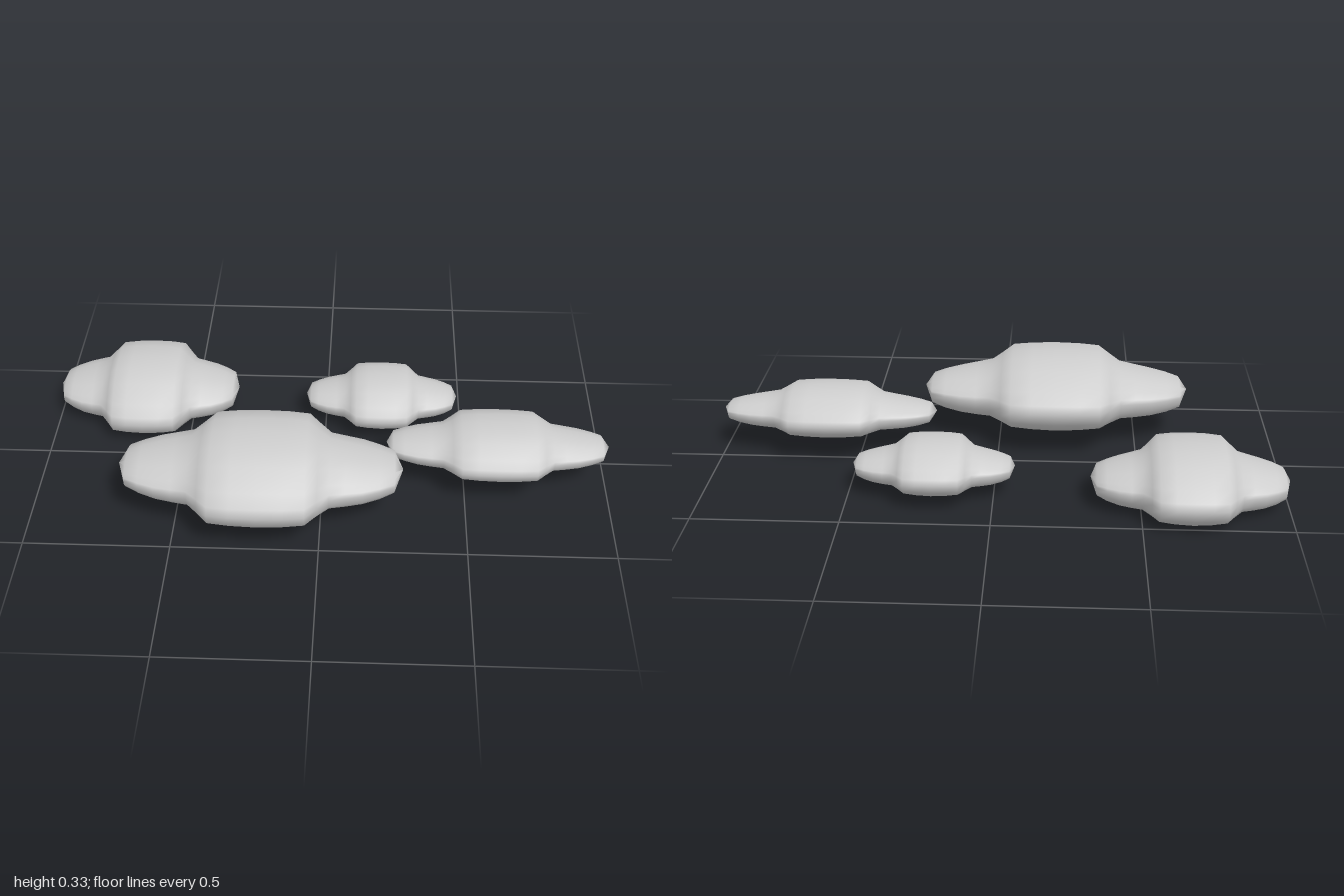
import * as THREE from 'three';
import { mergeVertices } from 'three/addons/utils/BufferGeometryUtils.js';

// Half outline of a cross-section: [sideways, height], both -1..1 around the widest level
const SECTION = [[0, 1], [0.29, 0.97], [0.55, 0.8], [0.82, 0.45], [0.96, 0.2], [1, 0],
  [0.96, -0.43], [0.78, -0.83], [0.4, -0.97], [0, -1]];
const RING = [...SECTION, ...SECTION.slice(1, -1).reverse().map(([s, h]) => [-s, h])];

// Stations from middle to tip: [along, half depth, top, bottom], heights 0..1
const HALF = [[0, 1, 1, 0], [0.18, 0.99, 0.99, 0.015], [0.33, 0.96, 0.965, 0.04],
  [0.41, 0.79, 0.86, 0.07], [0.49, 0.63, 0.76, 0.09], [0.6, 0.59, 0.71, 0.1],
  [0.72, 0.54, 0.66, 0.12], [0.84, 0.45, 0.61, 0.155], [0.94, 0.35, 0.55, 0.21],
  [1, 0, 0.4, 0.4]];
const STATIONS = [...HALF.slice(1).reverse().map(([u, ...rest]) => [-u, ...rest]), ...HALF];
const WIDEST = 0.41;

// One puffy cloud filling the given box, skinned from side to side
function cloudGeometry(width, height, depth) {
  const positions = [], index = [], n = RING.length;
  STATIONS.forEach(([u, half, top, bottom], i) => {
    for (const [s, h] of RING) {
      const y = WIDEST + h * (h > 0 ? top - WIDEST : WIDEST - bottom);
      positions.push(u * width / 2, y * height, s * half * depth / 2);
    }
    if (i === 0) return;
    for (let j = 0; j < n; j++) {
      const a = (i - 1) * n + j, b = (i - 1) * n + (j + 1) % n;
      index.push(a, b, a + n, b, b + n, a + n);
    }
  });
  let geometry = new THREE.BufferGeometry();
  geometry.setAttribute('position', new THREE.Float32BufferAttribute(positions, 3));
  geometry.setIndex(index);
  geometry = mergeVertices(geometry);
  geometry.computeVertexNormals();
  return geometry;
}

export function createModel() {
  const model = new THREE.Group();
  model.name = 'clouds';
  const material = new THREE.MeshStandardMaterial({ color: 0xcccccc });

  // name, centre x, base y, centre z, width, height, depth
  const clouds = [
    ['largeFrontCloud', -0.205, 0.08, 0.277, 0.97, 0.25, 0.555],
    ['roundBackCloud', -0.665, 0.003, -0.298, 0.67, 0.222, 0.515],
    ['smallBackCloud', 0.205, 0.04, -0.253, 0.555, 0.162, 0.357],
    ['longSideCloud', 0.612, 0.09, 0.093, 0.776, 0.16, 0.36],
  ];
  for (const [name, x, y, z, width, height, depth] of clouds) {
    const cloud = new THREE.Mesh(cloudGeometry(width, height, depth), material);
    cloud.name = name;
    cloud.position.set(x, y, z);
    model.add(cloud);
  }
  return model;
}
